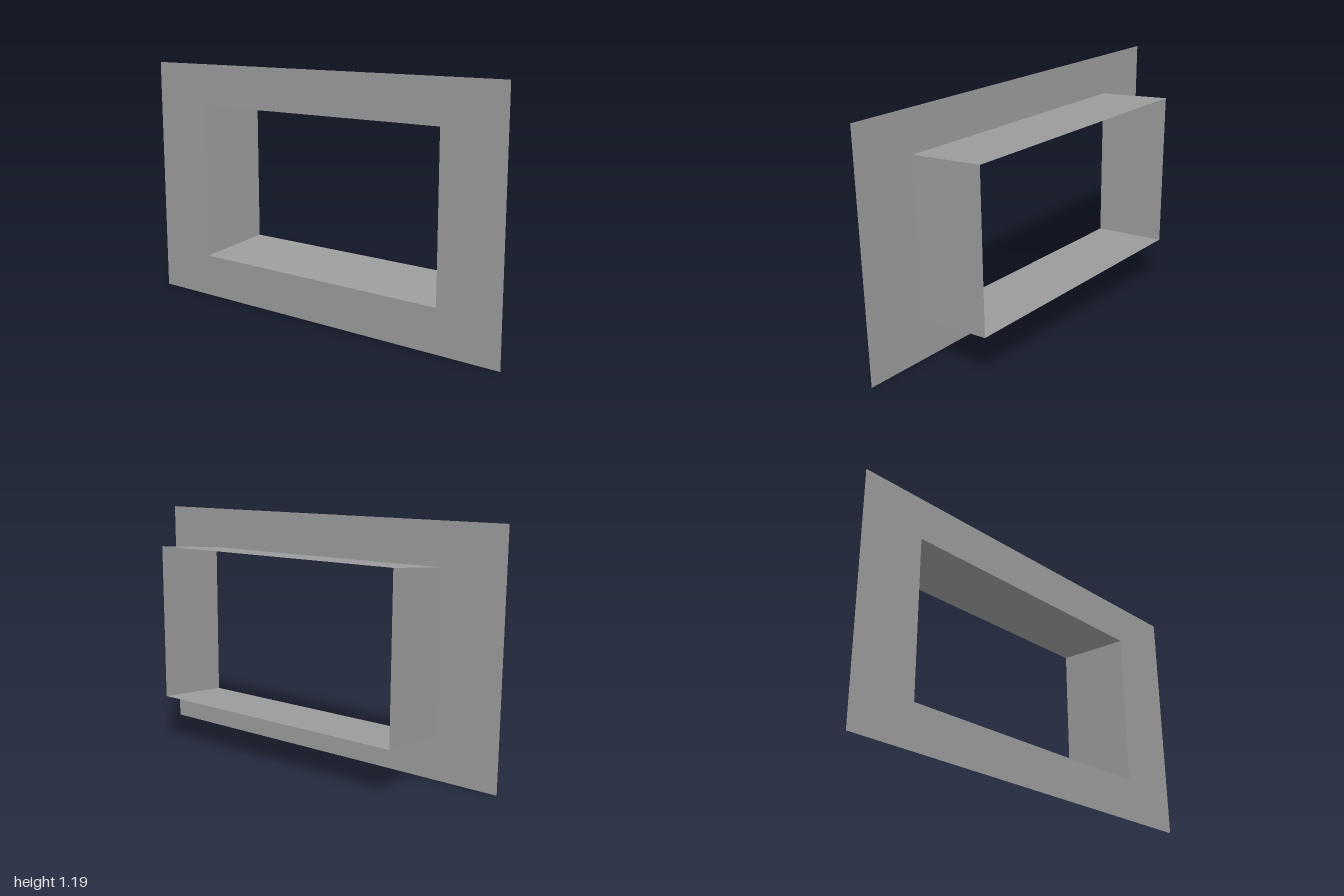
import * as THREE from 'three';

const HALF_W = 1, HEIGHT = 1.19;                      // front panel
const HOLE_X = 0.687, HOLE_LOW = 0.21, HOLE_HIGH = 0.985; // opening
const DEPTH = 0.194, RISE = 0.035;                    // sleeve half depth and upward slant

// Opening corners, counter-clockwise from the lower left
const corners = [
  [-HOLE_X, HOLE_LOW], [HOLE_X, HOLE_LOW], [HOLE_X, HOLE_HIGH], [-HOLE_X, HOLE_HIGH],
];

export function createModel() {
  const group = new THREE.Group();
  const material = new THREE.MeshStandardMaterial({
    color: 0x9c9c9c, side: THREE.DoubleSide, flatShading: true,
  });

  // Flat front panel with a rectangular opening
  const outline = new THREE.Shape([
    new THREE.Vector2(-HALF_W, 0), new THREE.Vector2(HALF_W, 0),
    new THREE.Vector2(HALF_W, HEIGHT), new THREE.Vector2(-HALF_W, HEIGHT),
  ]);
  outline.holes.push(new THREE.Path(corners.map(([x, y]) => new THREE.Vector2(x, y)).reverse()));
  const panel = new THREE.Mesh(new THREE.ShapeGeometry(outline), material);
  panel.name = 'frontPanel';
  panel.position.z = DEPTH;
  group.add(panel);

  // Four thin sleeve walls running back from the opening, rising slightly
  const names = ['sleeveFloor', 'sleeveLeftWall', 'sleeveCeiling', 'sleeveRightWall'];
  names.forEach((name, i) => {
    const [ax, ay] = corners[i];
    const [bx, by] = corners[(i + 1) % 4];
    const geometry = new THREE.BufferGeometry();
    geometry.setAttribute('position', new THREE.Float32BufferAttribute([
      ax, ay, DEPTH, bx, by, DEPTH,
      bx, by + RISE, -DEPTH, ax, ay + RISE, -DEPTH,
    ], 3));
    // Faces point out of the sleeve
    geometry.setIndex([0, 2, 1, 0, 3, 2]);
    geometry.computeVertexNormals();
    const wall = new THREE.Mesh(geometry, material);
    wall.name = name;
    group.add(wall);
  });

  return group;
}
